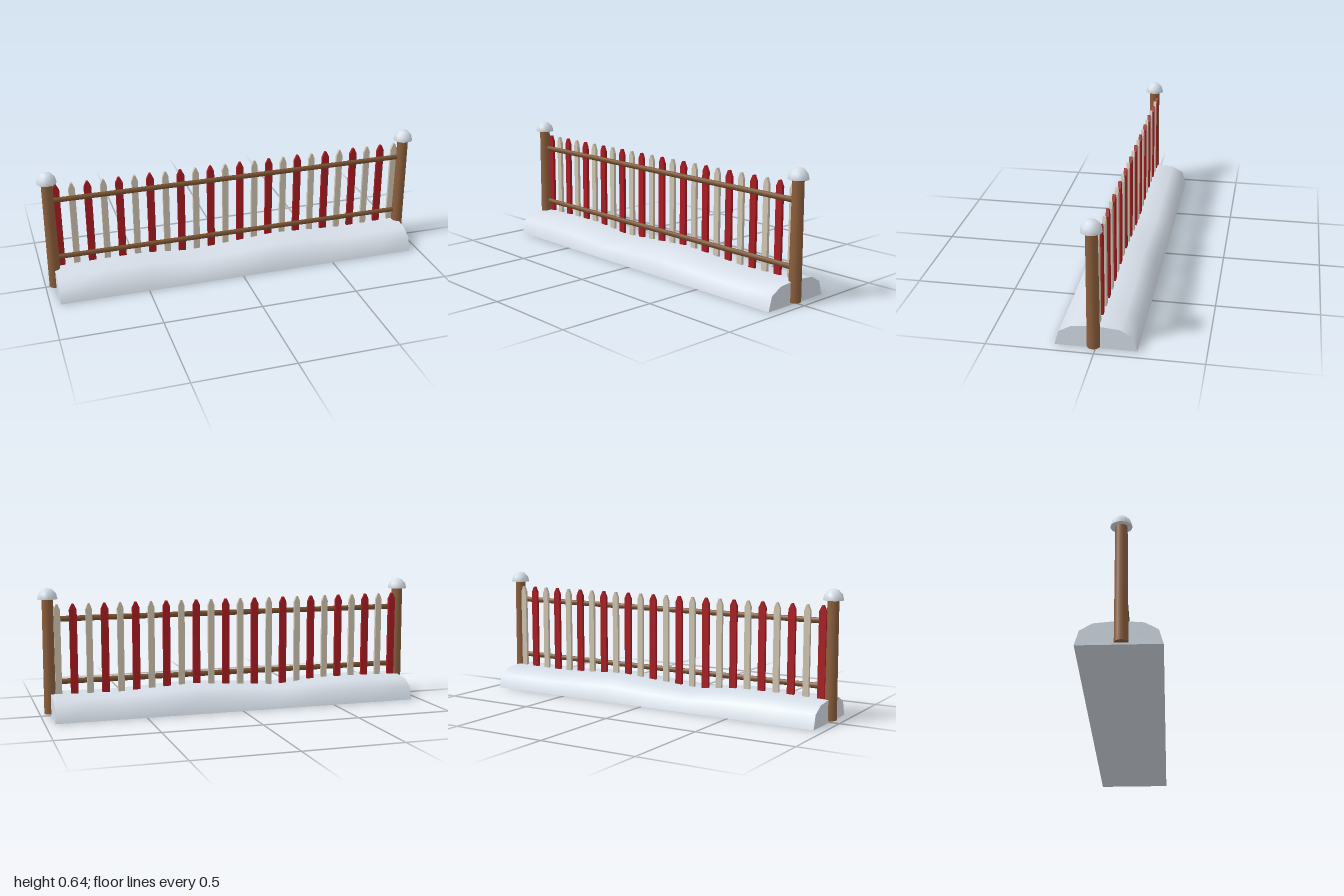
import * as THREE from 'three';
import { toCreasedNormals } from 'three/addons/utils/BufferGeometryUtils.js';

const mat = (name, color) => {
  const m = new THREE.MeshStandardMaterial({ color });
  m.name = name;
  return m;
};

// Snow bank: one cross-section repeated along x, its height following a gentle wave
function snowBankGeometry() {
  const section = [[0.19, 0], [0.17, 0.62], [0.11, 0.915], [0, 1], [-0.11, 0.915], [-0.17, 0.62], [-0.19, 0]];
  const ridge = [[-0.95, 0.113], [-0.72, 0.119], [-0.48, 0.119], [-0.24, 0.096], [0, 0.111],
    [0.22, 0.127], [0.4, 0.118], [0.6, 0.107], [0.78, 0.109], [0.95, 0.113]];
  const n = section.length;
  const pos = [], idx = [];
  for (const [x, h] of ridge) for (const [z, y] of section) pos.push(x, y * h, z);
  for (let i = 0; i < ridge.length - 1; i++) {
    for (let j = 0; j < n; j++) {
      const k = (j + 1) % n;
      const a = i * n + j, b = a + n, c = (i + 1) * n + k, d = i * n + k;
      idx.push(a, b, c, a, c, d);
    }
  }
  // end faces
  const last = (ridge.length - 1) * n;
  for (let j = 1; j < n - 1; j++) {
    idx.push(0, j, j + 1);
    idx.push(last, last + j + 1, last + j);
  }
  const g = new THREE.BufferGeometry();
  g.setAttribute('position', new THREE.Float32BufferAttribute(pos, 3));
  g.setIndex(idx);
  return toCreasedNormals(g, 1.0);
}

// Pointed board, standing from inside the snow
function picketGeometry(width) {
  const w = width / 2, tip = width * 0.12;
  const shape = new THREE.Shape([
    [-w, 0.05], [w, 0.05], [w, 0.53], [tip, 0.56], [-tip, 0.56], [-w, 0.53],
  ].map(([x, y]) => new THREE.Vector2(x, y)));
  return new THREE.ExtrudeGeometry(shape, { depth: 0.015, bevelEnabled: false });
}

export function createModel() {
  const group = new THREE.Group();
  group.name = 'snowyFence';
  const snow = mat('snow', 0xdde5ef);
  const wood = mat('postWood', 0x8b5e3c);
  const railWood = mat('railWood', 0x7a5230);
  const red = mat('redPaint', 0xa81c22);
  const cream = mat('creamPaint', 0xcfc4b0);

  const add = (name, geometry, material, x = 0, y = 0, z = 0) => {
    const mesh = new THREE.Mesh(geometry, material);
    mesh.name = name;
    mesh.position.set(x, y, z);
    group.add(mesh);
    return mesh;
  };

  add('snowBank', snowBankGeometry(), snow);

  // End posts with snow caps
  const postGeo = new THREE.CylinderGeometry(0.028, 0.031, 0.58, 12);
  const capGeo = new THREE.SphereGeometry(0.05, 12, 3, 0, Math.PI * 2, 0, Math.PI / 2);
  capGeo.scale(1, 1.1, 1);
  const capBaseGeo = new THREE.CircleGeometry(0.05, 12);
  capBaseGeo.rotateX(Math.PI / 2);
  for (const [side, x] of [['left', 0.95], ['right', -0.95]]) {
    add(side + 'Post', postGeo, wood, x, 0.30, 0.01);
    add(side + 'SnowCap', capGeo, snow, x, 0.585, 0.01);
    add(side + 'SnowCapBase', capBaseGeo, snow, x, 0.585, 0.01);
  }

  // Rails in front of the pickets
  const railGeo = new THREE.CylinderGeometry(0.014, 0.014, 1.88, 8);
  railGeo.rotateZ(Math.PI / 2);
  railGeo.scale(1, 1, 0.8);
  add('lowerRail', railGeo, railWood, 0, 0.17, 0.007);
  add('upperRail', railGeo, railWood, 0, 0.485, 0.007);

  // Alternating pickets
  const redGeo = picketGeometry(0.037), creamGeo = picketGeometry(0.032);
  for (let i = 0; i < 24; i++) {
    const isRed = i % 2 === 0;
    add(isRed ? 'redPicket' : 'creamPicket', isRed ? redGeo : creamGeo, isRed ? red : cream,
      (i - 11.5) * 0.079, 0, -0.016);
  }
  return group;
}
